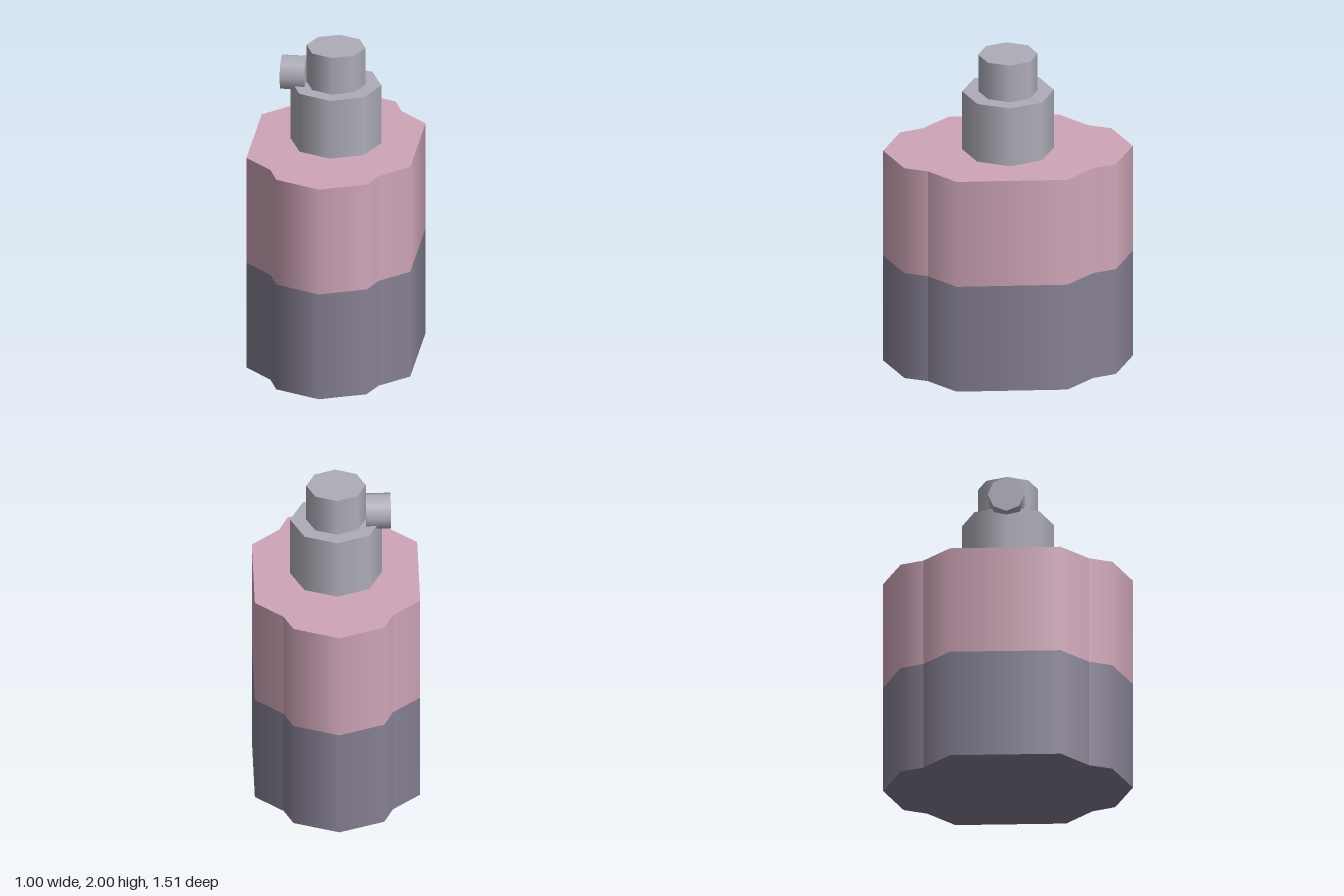
import * as THREE from 'three';
import { mergeGeometries } from 'three/addons/utils/BufferGeometryUtils.js';

// Half outline of the body: [x, z, direction of the smooth normal in degrees]
const TIP = [[-0.33, 0.5, -67.5], [-0.275, 0.64, -45], [0, 0.755, 0], [0.275, 0.64, 45], [0.33, 0.5, 67.5]];
const SIDE = [[0.33, 0.5, 45], [0.5, 0.335, 67.5], [0.5, -0.335, 112.5], [0.33, -0.5, 135]];

// Upright strip following a chain of outline points
function strip(chain, y0, y1) {
  const pos = [], nor = [], idx = [];
  chain.forEach(([x, z, deg], i) => {
    const t = THREE.MathUtils.degToRad(deg);
    for (const y of [y0, y1]) {
      pos.push(x, y, z);
      nor.push(Math.sin(t), 0, Math.cos(t));
    }
    const a = i * 2;
    if (i < chain.length - 1) idx.push(a, a + 2, a + 3, a, a + 3, a + 1);
  });
  const g = new THREE.BufferGeometry();
  g.setAttribute('position', new THREE.Float32BufferAttribute(pos, 3));
  g.setAttribute('normal', new THREE.Float32BufferAttribute(nor, 3));
  g.setIndex(idx);
  return g;
}

// Full ring of walls: each half is turned around the axis
function walls(y0, y1) {
  const parts = [];
  for (const chain of [TIP, SIDE]) {
    parts.push(strip(chain, y0, y1), strip(chain, y0, y1).rotateY(Math.PI));
  }
  return mergeGeometries(parts);
}

// Flat lid in the body outline, facing up (dir 1) or down (dir -1)
function lid(y, dir) {
  const half = [...TIP, ...SIDE.slice(1, 3)].map(([x, z]) => [x, z]);
  const pts = [...half, ...half.map(([x, z]) => [-x, -z])].map(([x, z]) => new THREE.Vector2(x, z));
  return new THREE.ShapeGeometry(new THREE.Shape(pts)).rotateX(-dir * Math.PI / 2).translate(0, y, 0);
}

export function createModel() {
  const model = new THREE.Group();
  const material = (name, color) => {
    const m = new THREE.MeshStandardMaterial({ color });
    m.name = name;
    return m;
  };
  const pink = material('dusty pink', 0xcfa6b8);
  const purple = material('grey purple', 0x878093);
  const metal = material('metal grey', 0xaeadb8);

  const add = (name, geometry, mat) => {
    const mesh = new THREE.Mesh(geometry, mat);
    mesh.name = name;
    model.add(mesh);
    return mesh;
  };

  // Two-tone bottle body
  add('lowerBody', walls(0, 0.69), purple);
  add('bodyBottom', lid(0, -1), purple);
  add('upperBody', walls(0.69, 1.38), pink);
  add('bodyTop', lid(1.38, 1), pink);

  // Eight-sided neck, pump head and sideways nozzle
  add('neck', new THREE.CylinderGeometry(0.277, 0.277, 0.38, 8), metal).position.y = 1.57;
  add('pumpHead', new THREE.CylinderGeometry(0.18, 0.18, 0.24, 8), metal).position.y = 1.88;
  const nozzle = add('nozzle', new THREE.CylinderGeometry(0.111, 0.111, 0.15, 8), metal);
  nozzle.rotation.z = Math.PI / 2;
  nozzle.position.set(-0.255, 1.815, 0);

  return model;
}
